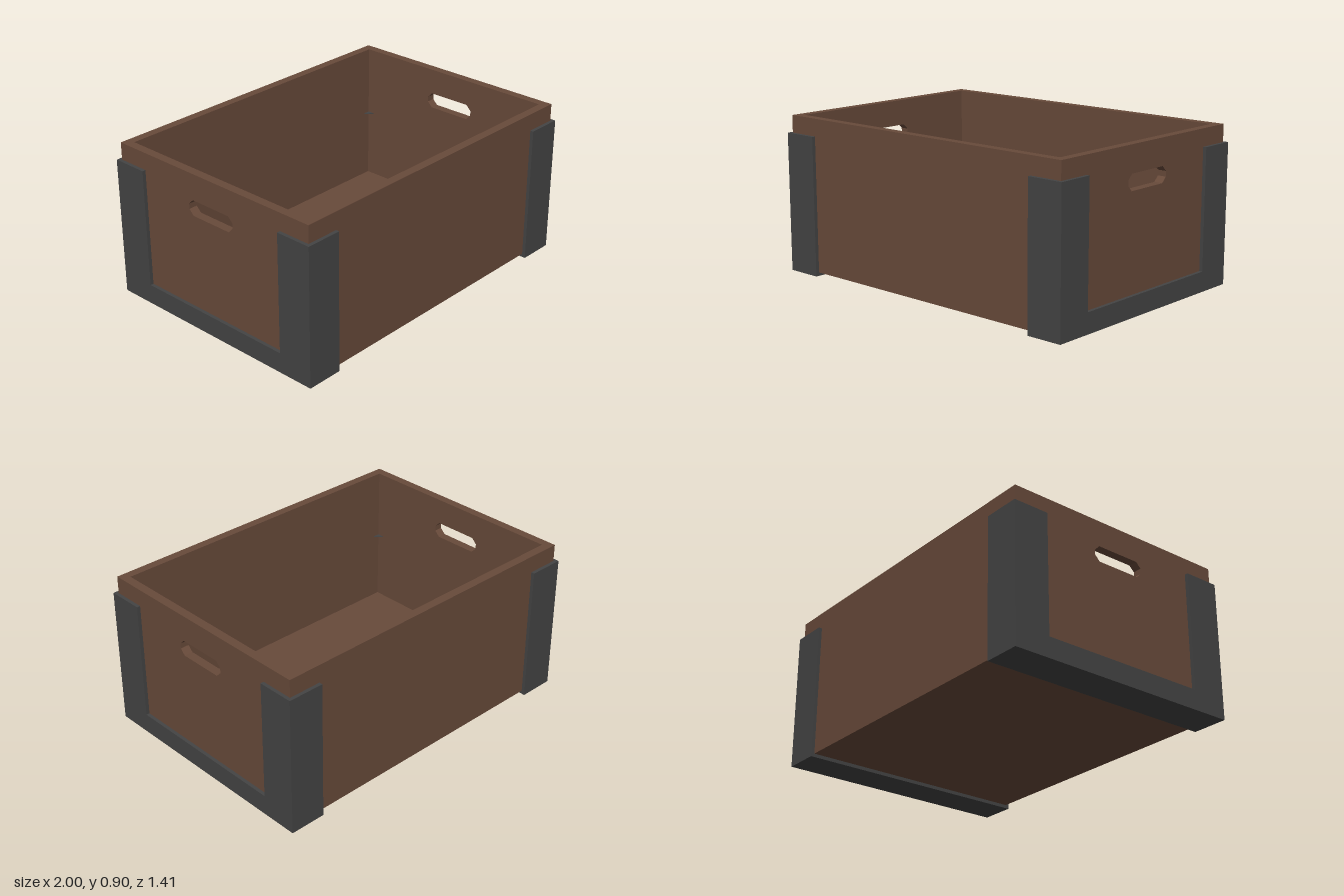
import * as THREE from 'three';

export function createModel() {
  const model = new THREE.Group();
  const wood = new THREE.MeshStandardMaterial({ color: 0x684a3a });
  wood.name = 'brown wood';
  const metal = new THREE.MeshStandardMaterial({ color: 0x444444 });
  metal.name = 'dark metal';

  const X = 0.98, Z = 0.685, BASE = 0.02, TOP = 0.9, WALL = 0.05; // wooden box
  const MX = 1, MZ = 0.705, PLATE = 0.02, BAND = 0.21, MTOP = 0.8; // metal fittings

  const add = (name, geometry, material, x, y, z, parent = model) => {
    const mesh = new THREE.Mesh(geometry, material);
    mesh.name = name;
    mesh.position.set(x, y, z);
    parent.add(mesh);
    return mesh;
  };
  const polygon = (points, Type = THREE.Shape) =>
    new Type(points.map(([x, y]) => new THREE.Vector2(x, y)));
  // Upright panel in the z-y plane, centred on x = 0
  const panel = (shape, depth) =>
    new THREE.ExtrudeGeometry(shape, { depth, bevelEnabled: false })
      .translate(0, 0, -depth / 2).rotateY(-Math.PI / 2);

  // Floor and long walls
  add('floor', new THREE.BoxGeometry(2 * (X - WALL), WALL, 2 * (Z - WALL)), wood, 0, BASE + WALL / 2, 0);
  for (const s of [1, -1]) {
    add(s > 0 ? 'frontWall' : 'backWall',
      new THREE.BoxGeometry(2 * X, TOP - BASE, WALL), wood, 0, (TOP + BASE) / 2, s * (Z - WALL / 2));
  }

  // End wall with a chamfered hand hole
  const zi = Z - WALL;
  const endShape = polygon([[-zi, BASE], [zi, BASE], [zi, TOP], [-zi, TOP]]);
  endShape.holes.push(polygon([
    [-0.13, 0.66], [-0.16, 0.69], [-0.16, 0.72], [-0.13, 0.75],
    [0.13, 0.75], [0.16, 0.72], [0.16, 0.69], [0.13, 0.66],
  ], THREE.Path));
  const endGeometry = panel(endShape, WALL);

  // U-shaped end plate
  const inner = MZ - BAND;
  const uGeometry = panel(polygon([
    [-MZ, 0], [MZ, 0], [MZ, MTOP], [inner, MTOP],
    [inner, 0.115], [-inner, 0.115], [-inner, MTOP], [-MZ, MTOP],
  ]), PLATE);

  // Small triangular gusset for the inside corners
  const gusset = new THREE.ExtrudeGeometry(polygon([[0, 0], [0.04, 0], [0, 0.04]]),
    { depth: 0.005, bevelEnabled: false }).rotateX(-Math.PI / 2);

  for (const s of [1, -1]) {
    const side = s > 0 ? 'left' : 'right';
    add(side + 'EndWall', endGeometry, wood, s * (X - WALL / 2), 0, 0);

    const bracket = new THREE.Group();
    bracket.name = side + 'Bracket';
    model.add(bracket);
    add(side + 'EndPlate', uGeometry, metal, s * (MX - PLATE / 2), 0, 0, bracket);
    const w = BAND - PLATE, cx = s * (MX - PLATE - w / 2);
    add(side + 'BottomPlate', new THREE.BoxGeometry(w, PLATE, 2 * (MZ - PLATE)), metal, cx, PLATE / 2, 0, bracket);
    for (const t of [1, -1]) {
      const end = t > 0 ? 'Front' : 'Back';
      add(side + end + 'CornerPlate', new THREE.BoxGeometry(w, MTOP, PLATE), metal,
        cx, MTOP / 2, t * (MZ - PLATE / 2), bracket);
      const g = add(side + end + 'Gusset', gusset, metal, s * (X - WALL), 0.48, t * zi, bracket);
      // Turn the right angle of the triangle into each corner
      g.rotation.y = s > 0 ? (t > 0 ? Math.PI / 2 : Math.PI) : (t > 0 ? 0 : -Math.PI / 2);
    }
  }
  return model;
}
